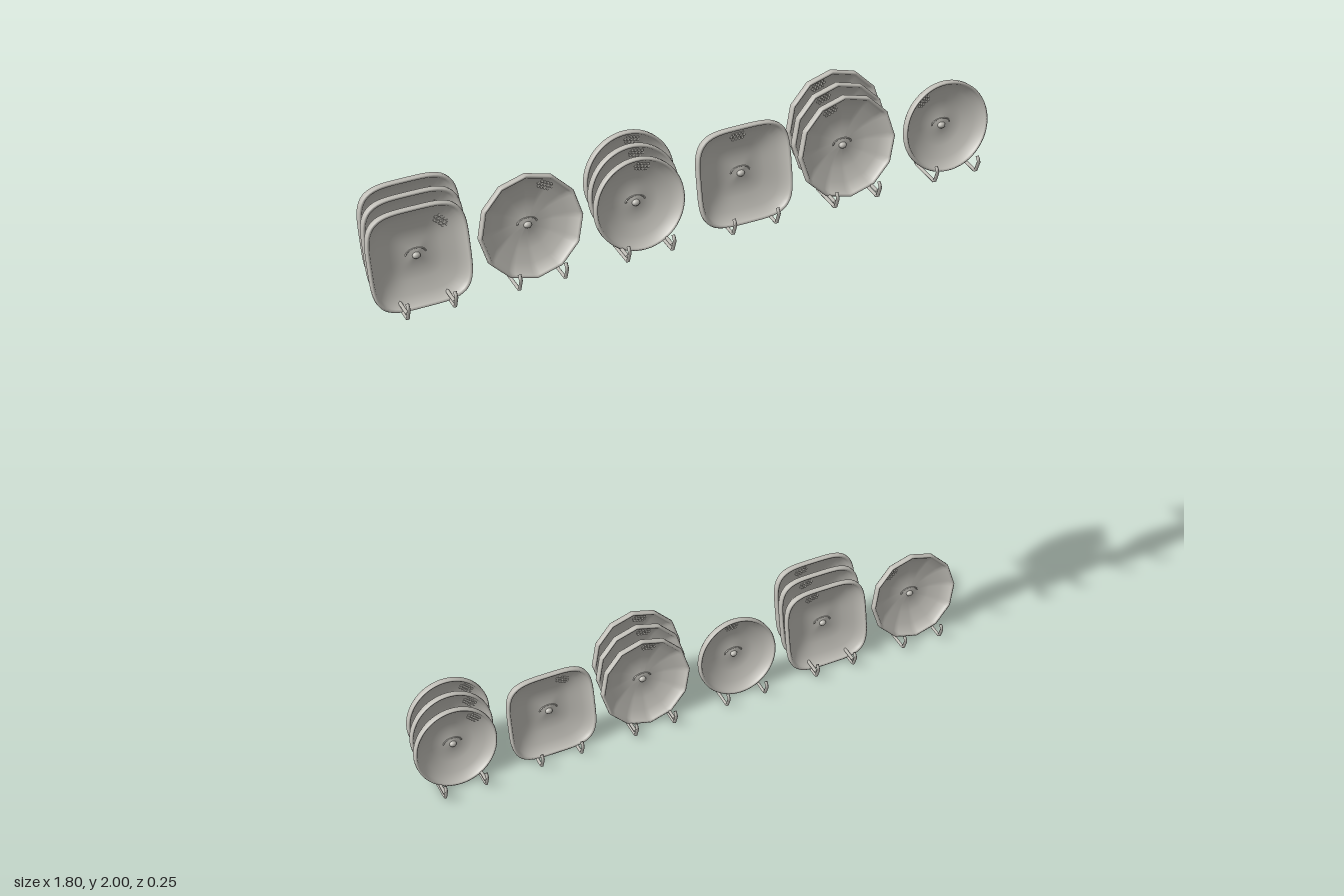
import * as THREE from 'three';

const greyMat = new THREE.MeshStandardMaterial({ name: 'warm grey', color: 0xc0beb7, side: THREE.DoubleSide });

const TILT = 0.19;

// Dish section: [fraction of the outline, z], hollow front first, then lip and back
const FRONT = [[0, -0.034], [0.1, -0.036], [0.3, -0.041], [0.5, -0.037], [0.75, -0.026], [0.9, -0.014], [0.935, -0.003], [0.96, 0]];
const BACK = [[0.985, -0.001], [1, -0.006], [1, -0.017], [0.97, -0.023], [0.85, -0.031], [0.6, -0.046], [0.42, -0.053], [0.28, -0.054], [0.12, -0.05], [0, -0.046]];

// Outlines as radius by angle
const SHAPES = {
  round: { size: 0.128, radius: () => 1 },
  square: {
    size: 0.137,
    radius: t => Math.pow(Math.abs(Math.cos(t)) ** 4 + Math.abs(Math.sin(t)) ** 4, -1 / 4),
  },
  faceted: {
    size: 0.144,
    radius: t => {
      const step = Math.PI / 6;
      const a = ((t % step) + step) % step;
      return Math.cos(step / 2) / Math.cos(a - step / 2);
    },
  },
};

function dishGeometry({ size, radius }) {
  const n = 84, rings = [...FRONT, ...BACK], pos = [], index = [];
  for (const [f, z] of rings) {
    for (let j = 0; j < n; j++) {
      const t = (j / n) * Math.PI * 2, r = f * size * radius(t);
      pos.push(r * Math.cos(t), r * Math.sin(t), z);
    }
  }
  for (let i = 0; i < rings.length - 1; i++) {
    for (let j = 0; j < n; j++) {
      const k = (j + 1) % n, a = i * n + j, b = (i + 1) * n + j, c = (i + 1) * n + k, d = i * n + k;
      if (i < rings.length - 2) index.push(a, b, c);
      if (i > 0) index.push(a, c, d);
    }
  }
  const g = new THREE.BufferGeometry();
  g.setAttribute('position', new THREE.Float32BufferAttribute(pos, 3));
  g.setIndex(index);
  g.computeVertexNormals();
  return g;
}

// Depth of the hollow at a point
function hollowZ({ size, radius }, x, y) {
  const f = Math.hypot(x, y) / (size * radius(Math.atan2(y, x)));
  for (let i = 1; i < FRONT.length; i++) {
    const [f0, z0] = FRONT[i - 1], [f1, z1] = FRONT[i];
    if (f <= f1) return z0 + ((f - f0) / (f1 - f0)) * (z1 - z0);
  }
  return 0;
}

function add(parent, name, geometry, x = 0, y = 0, z = 0) {
  const m = new THREE.Mesh(geometry, greyMat);
  m.name = name;
  m.position.set(x, y, z);
  parent.add(m);
  return m;
}

// Bent wire in the y-z plane, given as [y, z] points
function wire(points) {
  const path = new THREE.CurvePath();
  const p = points.map(([y, z]) => new THREE.Vector3(0, y, z));
  for (let i = 1; i < p.length; i++) path.add(new THREE.LineCurve3(p[i - 1], p[i]));
  return new THREE.TubeGeometry(path, 24, 0.005, 6);
}

const hookGeo = wire([[0.058, 0.11], [0.045, 0.12], [0.008, 0.106], [0.008, 0.002], [0.055, 0.006]]);
const railGeo = wire([[0.024, 0.105], [0.024, -0.098]]);
const pegGeo = wire([[0.024, -0.058], [0.06, -0.055]]);
const bossGeo = new THREE.SphereGeometry(0.011, 16, 8);
const browGeo = new THREE.TorusGeometry(0.027, 0.0025, 6, 20, Math.PI);
const dotGeo = new THREE.CylinderGeometry(0.0038, 0.0038, 0.006, 6).rotateX(Math.PI / 2);
const geos = Object.fromEntries(Object.entries(SHAPES).map(([k, s]) => [k, dishGeometry(s)]));

function makeDish(kind, studAngle) {
  const shape = SHAPES[kind], dish = new THREE.Group();
  dish.name = kind + 'Dish';
  add(dish, 'bowl', geos[kind]);

  // Central boss with a raised arc above it
  add(dish, 'centreBoss', bossGeo, 0, -0.004, -0.033).scale.set(1, 0.8, 0.8);
  add(dish, 'bossArc', browGeo, 0, 0, -0.036).scale.y = 0.55;

  // Cluster of small raised studs near the rim
  const studs = new THREE.Group();
  studs.name = 'studs';
  const r = 0.77 * shape.size, s = Math.sin(studAngle), c = Math.cos(studAngle);
  for (let row = -1; row <= 1; row++) {
    const count = row === 0 ? 5 : 4;
    for (let i = 0; i < count; i++) {
      const u = (i - (count - 1) / 2) * 0.0092, v = r + row * 0.0085;
      const x = s * v + c * u, y = c * v - s * u;
      add(studs, 'stud', dotGeo, x, y, hollowZ(shape, x, y));
    }
  }
  dish.add(studs);
  dish.rotation.x = -TILT;
  return dish;
}

// One place on the shelf: a single dish, or three nested ones, on its wire stand
function makeDisplay(kind, stacked, studAngle) {
  const display = new THREE.Group();
  display.name = kind + (stacked ? 'Stack' : 'Single');
  const offsets = stacked ? [[0, 0, 0], [0.013, 0.001, -0.065], [0.022, 0.012, -0.114]] : [[0, 0, 0]];
  for (const [x, y, z] of offsets) {
    const dish = makeDish(kind, studAngle);
    dish.position.set(x, 0.006 + SHAPES[kind].size * Math.cos(TILT) + y, 0.05 + z);
    display.add(dish);
  }
  for (const x of [-0.064, 0.064]) {
    add(display, 'standHook', hookGeo, x);
    if (stacked) {
      add(display, 'standRail', railGeo, x);
      add(display, 'standPeg', pegGeo, x);
    }
  }
  return display;
}

export function createModel() {
  const model = new THREE.Group();
  model.name = 'dishDisplay';
  const rows = [
    { y: 0.002, kinds: ['round', 'square', 'faceted', 'round', 'square', 'faceted'] },
    { y: 1.703, kinds: ['square', 'faceted', 'round', 'square', 'faceted', 'round'] },
  ];
  for (const { y, kinds } of rows) {
    kinds.forEach((kind, i) => {
      const display = makeDisplay(kind, i % 2 === 0, THREE.MathUtils.degToRad(45 - 16 * i));
      display.position.set(-0.766 + i * 0.304, y, 0);
      model.add(display);
    });
  }
  return model;
}
